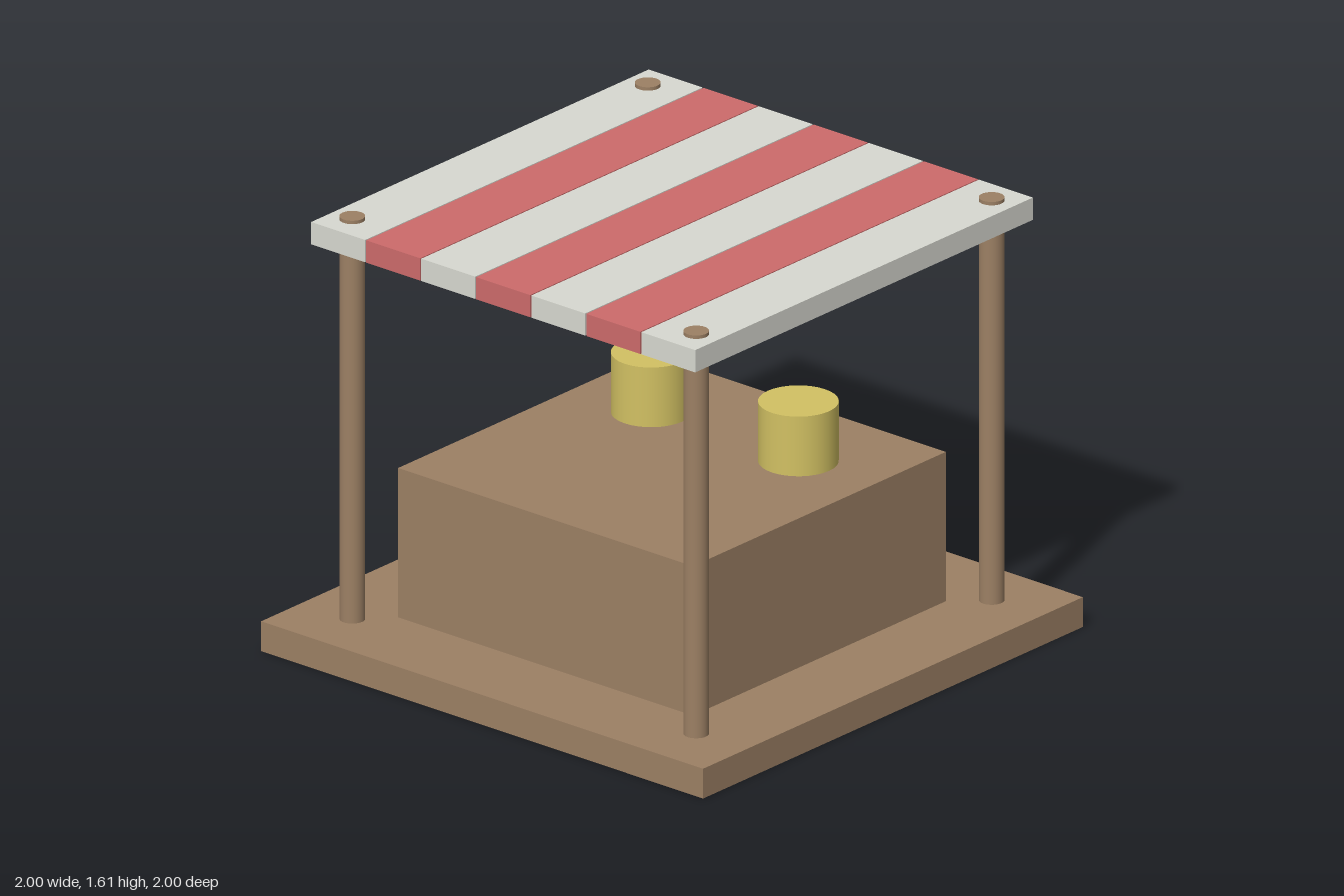
import * as THREE from 'three';

const mat = (color) => new THREE.MeshStandardMaterial({ color });

export function createModel() {
  const group = new THREE.Group();
  const wood = mat(0x9c8064);
  const yellow = mat(0xd2c163);
  const white = mat(0xd8d9d1);
  const red = mat(0xcd6b6b);

  const add = (name, geometry, material, x, y, z) => {
    const mesh = new THREE.Mesh(geometry, material);
    mesh.name = name;
    mesh.position.set(x, y, z);
    group.add(mesh);
  };

  // Base platform and counter block
  add('base', new THREE.BoxGeometry(2, 0.111, 2), wood, 0, 0.0555, 0);
  add('counter', new THREE.BoxGeometry(1.333, 0.556, 1.333), wood, 0, 0.389, 0);

  // Corner posts, poking slightly through the canopy
  const postBottom = 0.1, postTop = 1.611;
  const post = new THREE.CylinderGeometry(0.0444, 0.0444, postTop - postBottom, 32);
  for (const x of [-0.778, 0.778])
    for (const z of [-0.778, 0.778])
      add('post', post, wood, x, (postTop + postBottom) / 2, z);

  // Two jars towards the back of the counter
  const jar = new THREE.CylinderGeometry(0.139, 0.139, 0.222, 32);
  for (const x of [-0.333, 0.333]) add('jar', jar, yellow, x, 0.778, -0.278);

  // Canopy of alternating stripes with narrow gaps
  const stripe = new THREE.BoxGeometry(0.244, 0.083, 1.778);
  for (let i = -3; i <= 3; i++)
    add('canopyStripe', stripe, i % 2 ? white : red, i * 0.249, 1.557, 0);

  // The outer and every second stripe are white, the centre stripe is red
  return group;
}
